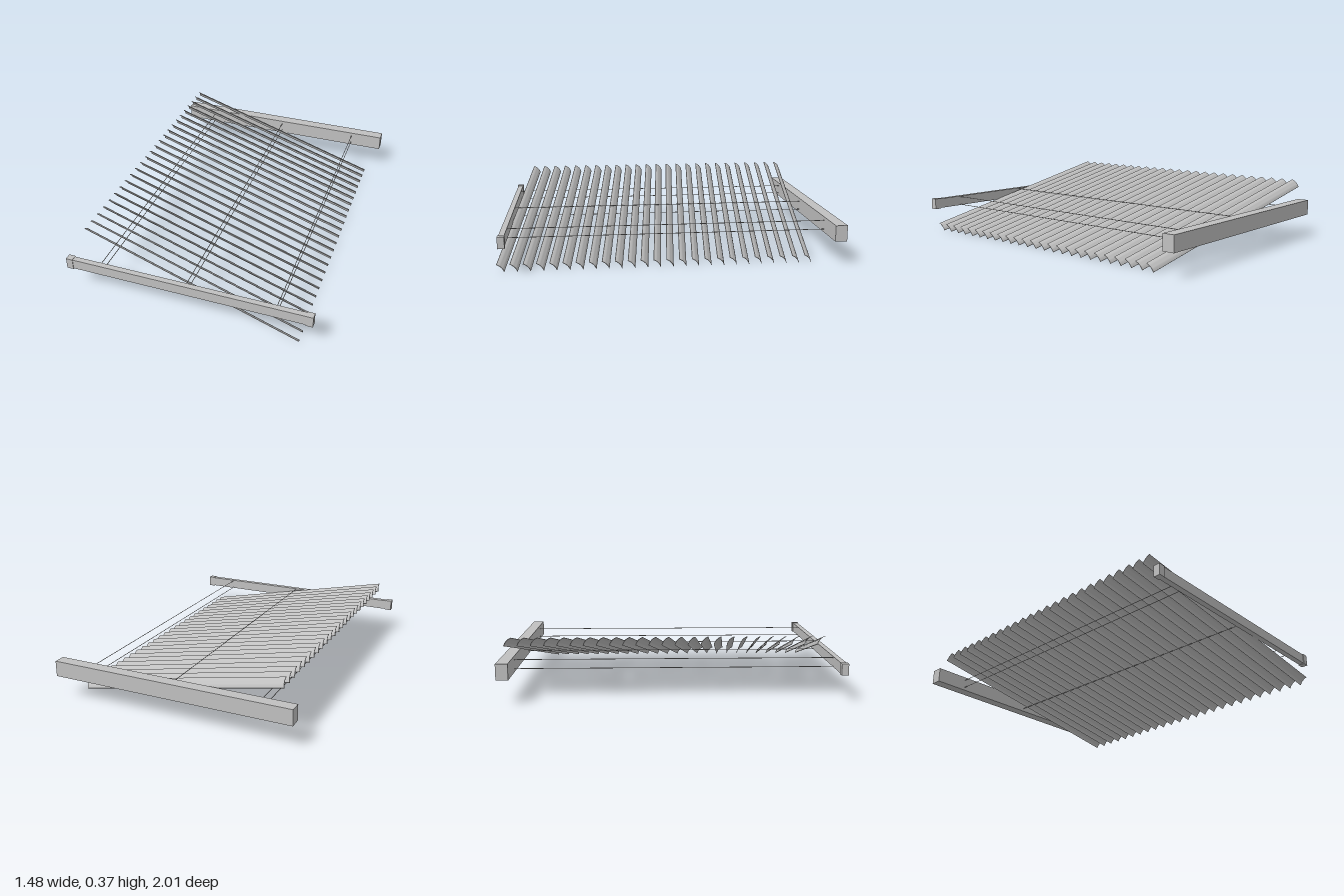
import * as THREE from 'three';
import { toCreasedNormals } from 'three/addons/utils/BufferGeometryUtils.js';

// Slatted blind lying flat: head rail at the back, bottom rail at the front
export function createModel() {
  const model = new THREE.Group();
  const grey = new THREE.MeshStandardMaterial({ color: 0xc0c0c0 });
  grey.name = 'satinGrey';

  const add = (name, geometry, x, y, z, parent = model) => {
    const mesh = new THREE.Mesh(geometry, grey);
    mesh.name = name;
    mesh.position.set(x, y, z);
    parent.add(mesh);
    return mesh;
  };

  // Rails
  add('headRail', new THREE.BoxGeometry(1.48, 0.094, 0.07), 0, 0.192, -0.965);
  add('bottomRail', new THREE.BoxGeometry(1.4, 0.062, 0.033), 0, 0.192, 0.966);
  for (const side of [-1, 1]) {
    add('bottomRailCap', new THREE.BoxGeometry(0.04, 0.068, 0.04), side * 0.72, 0.192, 0.966);
  }

  // Ladder cords, one above and one below the slats at three stations
  const cord = new THREE.CylinderGeometry(0.002, 0.002, 1.89, 6).rotateX(Math.PI / 2);
  for (const x of [-0.53, 0, 0.53]) {
    for (const y of [0.165, 0.219]) add('ladderCord', cord, x, y, 0.01);
  }

  // Slat: a shallow curved strip swept along its length
  const halfWidth = 0.031, sag = 0.008, thickness = 0.003, steps = 8, length = 1.385;
  const outline = [];
  for (let i = 0; i <= steps; i++) {
    const t = (i / steps) * 2 - 1;
    outline.push(new THREE.Vector2(t * halfWidth, sag * (t * t - 0.5)));
  }
  for (let i = steps; i >= 0; i--) {
    outline.push(new THREE.Vector2(outline[i].x, outline[i].y + thickness));
  }
  const extruded = new THREE.ExtrudeGeometry(new THREE.Shape(outline), {
    depth: length, bevelEnabled: false,
  }).translate(0, 0, -length / 2);
  const slat = toCreasedNormals(extruded, 0.7);

  // Tilt the strip: its length slopes down to +x, its width rises to the front
  const along = new THREE.Vector3(1.345, -0.328, 0.145).normalize();
  const across = new THREE.Vector3(0.01, 0.045, 0.043);
  across.addScaledVector(along, -across.dot(along)).normalize();
  const normal = new THREE.Vector3().crossVectors(along, across);
  slat.applyMatrix4(new THREE.Matrix4().makeBasis(across, normal, along));

  // Row of slats
  const slats = new THREE.Group();
  slats.name = 'slats';
  model.add(slats);
  const count = 25, pitch = 0.0741;
  for (let i = 0; i < count; i++) {
    add('slat', slat, 0, 0.191, 0.018 + (i - (count - 1) / 2) * pitch, slats);
  }

  return model;
}
